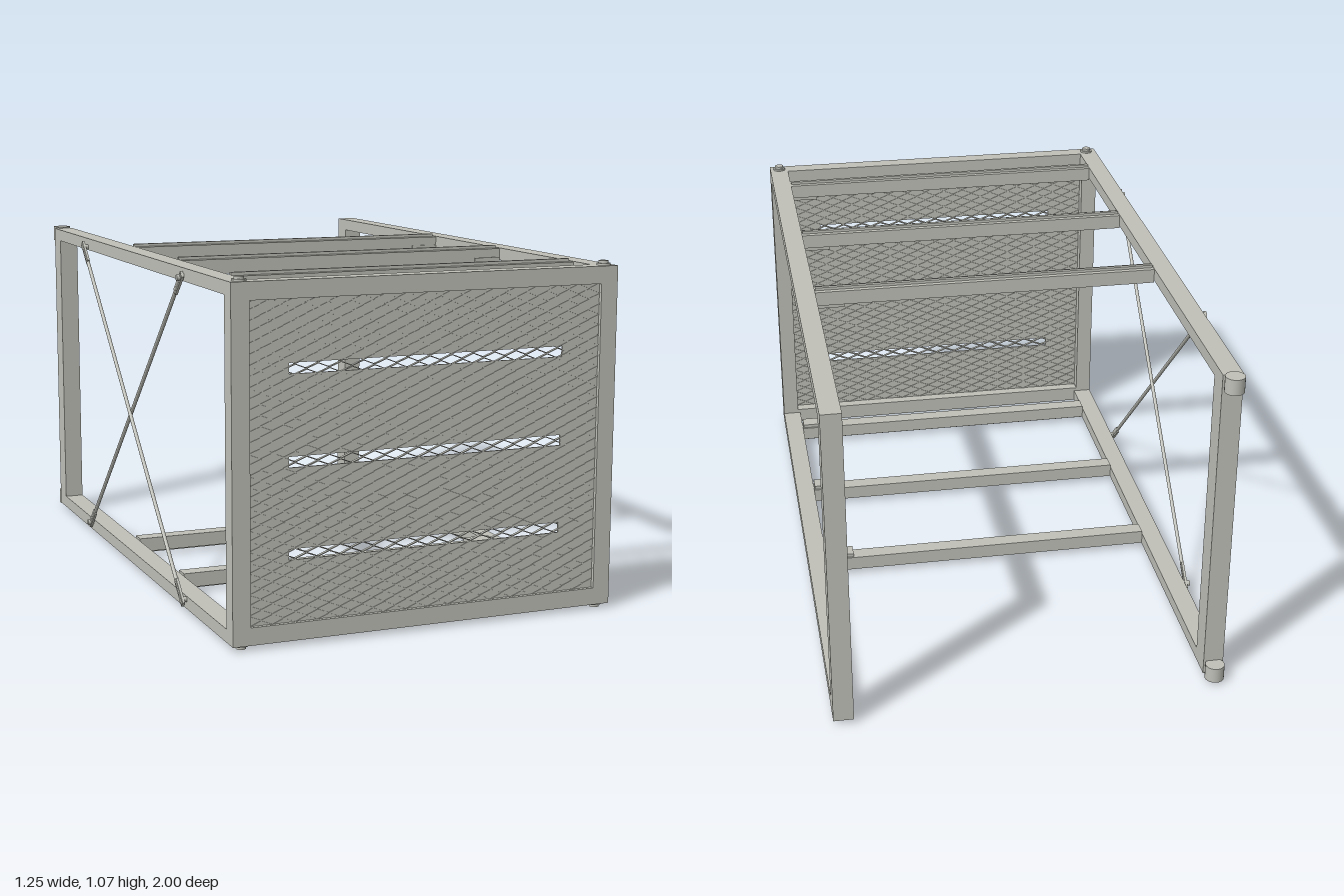
import * as THREE from 'three';

const steel = new THREE.MeshStandardMaterial({ color: 0xc0c0b9 });
steel.name = 'brushed steel';

const MID = 0.5375; // height of the horizontal symmetry plane
const TOP = 1.06, BOTTOM = 0.015;
const X0 = -0.605, X1 = 0.625; // outer faces of the side frames

export function createModel() {
  const model = new THREE.Group();
  model.name = 'crateFrame';

  const add = (name, geometry, x = 0, y = 0, z = 0) => {
    const mesh = new THREE.Mesh(geometry, steel);
    mesh.name = name;
    mesh.position.set(x, y, z);
    model.add(mesh);
    return mesh;
  };
  // box given by its limits
  const bar = (name, x0, x1, y0, y1, z0, z1) =>
    add(name, new THREE.BoxGeometry(x1 - x0, y1 - y0, z1 - z0), (x0 + x1) / 2, (y0 + y1) / 2, (z0 + z1) / 2);
  // the same box at the top and mirrored at the bottom
  const barPair = (name, x0, x1, y0, y1, z0, z1) => {
    bar(name + 'Upper', x0, x1, y0, y1, z0, z1);
    bar(name + 'Lower', x0, x1, 2 * MID - y1, 2 * MID - y0, z0, z1);
  };
  const discPair = (name, r, y0, y1, x, z) => {
    for (const [end, y] of [['Upper', (y0 + y1) / 2], ['Lower', 2 * MID - (y0 + y1) / 2]])
      add(name + end, new THREE.CylinderGeometry(r, r, y1 - y0, 24), x, y, z);
  };

  // front frame
  bar('frontPostRight', X0, X0 + 0.055, BOTTOM, TOP, 0.945, 1);
  bar('frontPostLeft', X1 - 0.055, X1, BOTTOM, TOP, 0.945, 1);
  barPair('frontRail', X0 + 0.055, X1 - 0.055, 1.007, TOP, 0.945, 1);

  // side frames with their rear posts
  barPair('sideRailRight', X0, X0 + 0.063, 1.02, TOP, -0.95, 0.945);
  barPair('sideRailLeft', X1 - 0.063, X1, 1.02, TOP, -1, 0.945);
  bar('rearPostRight', X0, X0 + 0.063, 0.055, 1.02, -0.95, -0.87);
  bar('rearPostLeft', X1 - 0.063, X1, 0.055, 1.02, -1, -0.93);

  // hinge knuckles at the rear and pivot bolts at the front
  discPair('rearHinge', 0.03, 1.015, 1.065, -0.573, -0.97);
  for (const x of [-0.57, 0.592]) {
    discPair('pivotWasher', 0.021, 1.06, 1.066, x, 0.97);
    discPair('pivotBolt', 0.015, 1.066, 1.074, x, 0.97);
  }

  // cross bars with a narrow top ridge and an end bracket
  for (const z of [0.818, 0.338, -0.142]) {
    barPair('crossBar', -0.542, 0.562, 1.012, 1.058, z - 0.026, z + 0.026);
    barPair('crossBarRidge', -0.54, 0.56, 1.058, 1.067, z - 0.01, z + 0.002);
    barPair('endBracket', 0.47, 0.56, 1.0, 1.03, z + 0.026, z + 0.031);
    barPair('endBracketFoot', 0.47, 0.56, 1.0, 1.012, z - 0.02, z + 0.026);
  }

  // expanded-metal panel: sheet with three long slots
  const px0 = -0.55, px1 = 0.572, py0 = 0.066, py1 = 1.009;
  const rect = (path, x0, x1, y0, y1) =>
    path.moveTo(x0, y0).lineTo(x1, y0).lineTo(x1, y1).lineTo(x0, y1).closePath();
  const sheet = new THREE.Shape();
  rect(sheet, px0, px1, py0, py1);
  for (const y of [0.268, 0.538, 0.808]) {
    const slot = new THREE.Path();
    rect(slot, -0.428, 0.448, y - 0.016, y + 0.016);
    sheet.holes.push(slot);
  }
  add('meshSheet', new THREE.ExtrudeGeometry(sheet, { depth: 0.006, bevelEnabled: false }), 0, 0, 0.982);

  // zigzag strands forming the diamond lattice
  const rows = 60, steps = 32;
  const pitch = (py1 - py0) / rows, step = (px1 - px0) / steps;
  const zigzag = (phase) => {
    const pts = [];
    for (const side of [-1, 1]) {
      const edge = [];
      for (let i = 0; i <= steps; i++)
        edge.push(new THREE.Vector2(px0 + i * step, ((i + phase) % 2 ? 0.5 : -0.5) * (pitch - 0.002) + side * 0.0015));
      pts.push(...(side < 0 ? edge : edge.reverse()));
    }
    return new THREE.ExtrudeGeometry(new THREE.Shape(pts), { depth: 0.01, bevelEnabled: false });
  };
  const strands = [zigzag(0), zigzag(1)];
  for (let k = 0; k < rows; k++) add('meshStrand', strands[k % 2], 0, py0 + (k + 0.5) * pitch, 0.98);

  // crossed side braces with flattened, bolted ends
  const up = new THREE.Vector3(0, 1, 0);
  for (const [s, x] of [[1, -0.611], [-1, -0.619]]) {
    const a = new THREE.Vector3(x, MID - 0.505, 0.045 - s * 0.545);
    const b = new THREE.Vector3(x, MID + 0.505, 0.045 + s * 0.545);
    const dir = b.clone().sub(a);
    const turn = new THREE.Quaternion().setFromUnitVectors(up, dir.clone().normalize());
    const mid = a.clone().add(b).multiplyScalar(0.5);
    add('braceRod', new THREE.CylinderGeometry(0.006, 0.006, dir.length(), 12), mid.x, mid.y, mid.z).quaternion.copy(turn);
    for (const t of [0.03, 0.97]) {
      const p = a.clone().lerp(b, t);
      add('braceEnd', new THREE.BoxGeometry(0.008, 0.09, 0.022), p.x, p.y, p.z).quaternion.copy(turn);
      const q = a.clone().lerp(b, t < 0.5 ? 0.012 : 0.988);
      add('braceBolt', new THREE.CylinderGeometry(0.009, 0.009, 0.022, 16), -0.614, q.y, q.z).rotation.z = Math.PI / 2;
    }
  }
  return model;
}
